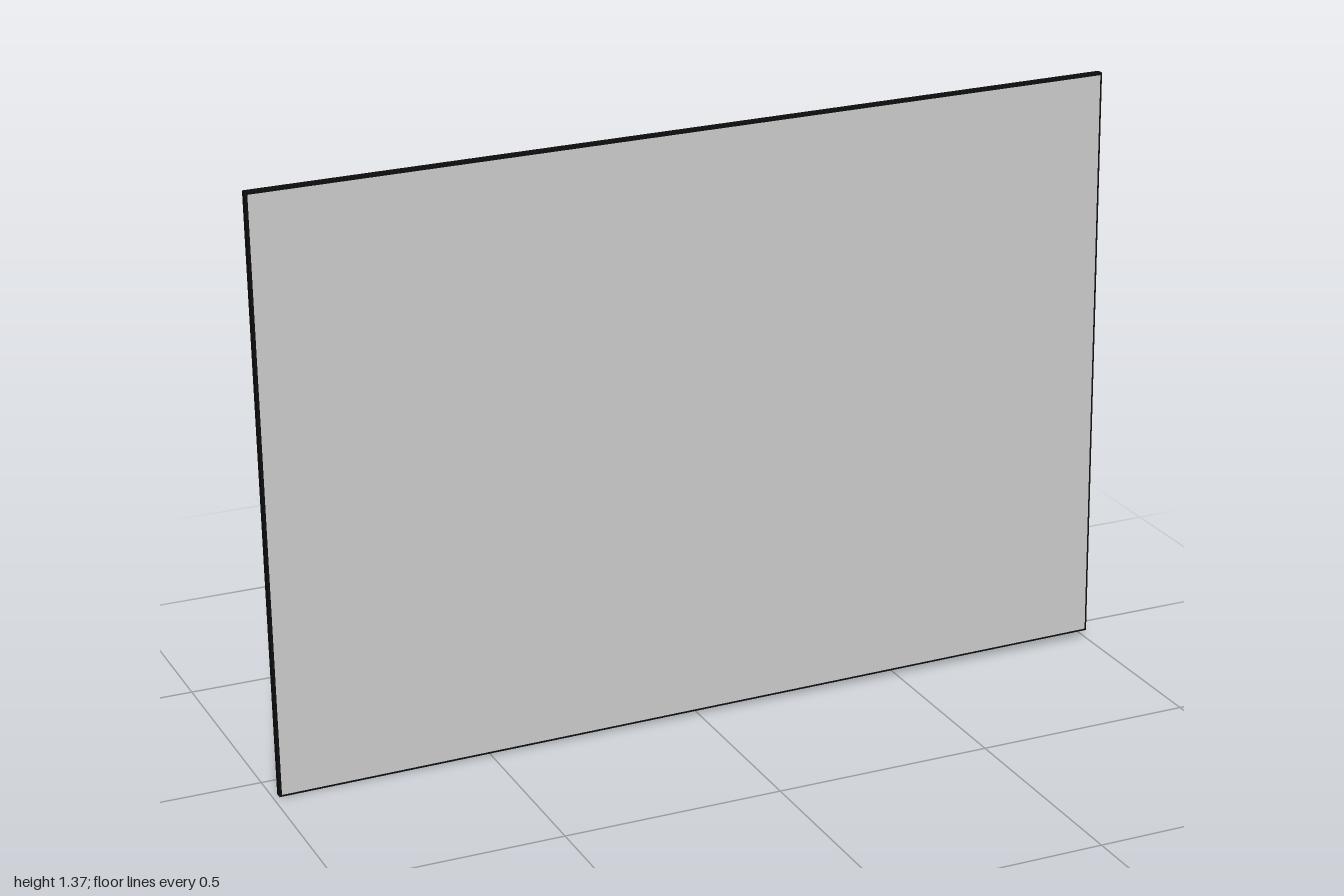
import * as THREE from 'three';

const black = new THREE.MeshStandardMaterial({ color: 0x0c0c0c });
const grey = new THREE.MeshStandardMaterial({ color: 0xcccccc });

// Flat-faced solid lofted through rectangles [halfWidth, halfHeight, z], front to back
function loftRects(rects) {
  const rings = rects.map(([w, h, z]) => [[-w, -h, z], [w, -h, z], [w, h, z], [-w, h, z]]);
  const pos = [];
  const quad = (a, b, c, d) => pos.push(...a, ...b, ...c, ...a, ...c, ...d);
  for (let r = 0; r < rings.length - 1; r++) {
    for (let i = 0; i < 4; i++) {
      const j = (i + 1) % 4;
      quad(rings[r][i], rings[r + 1][i], rings[r + 1][j], rings[r][j]);
    }
  }
  const first = rings[0], last = rings[rings.length - 1];
  quad(first[0], first[1], first[2], first[3]);
  quad(last[3], last[2], last[1], last[0]);
  const geometry = new THREE.BufferGeometry();
  geometry.setAttribute('position', new THREE.Float32BufferAttribute(pos, 3));
  geometry.computeVertexNormals();
  return geometry;
}

function addPart(parent, name, geometry, material, z = 0) {
  const mesh = new THREE.Mesh(geometry, material);
  mesh.name = name;
  mesh.position.z = z;
  parent.add(mesh);
}

export function createModel() {
  const model = new THREE.Group();
  model.name = 'wallPanel';

  // The whole panel hangs slightly crooked and leans back a little
  const panel = new THREE.Group();
  panel.name = 'panel';
  panel.position.y = 0.685;
  panel.rotation.set(-0.009, 0, 0.01);
  model.add(panel);

  // Thin casing: bevelled rim, then a shallow pyramid towards the mount
  addPart(panel, 'casing', loftRects([
    [0.993, 0.675, 0.077],
    [0.993, 0.675, 0.06],
    [0.987, 0.669, 0.053],
    [0.218, 0.218, 0.034],
  ]), black);

  // Display surface, just proud of the casing
  addPart(panel, 'screen', new THREE.PlaneGeometry(1.976, 1.34), grey, 0.0785);

  // Square block on the back
  addPart(panel, 'mountBlock', new THREE.BoxGeometry(0.436, 0.436, 0.115), black, -0.0215);

  return model;
}
